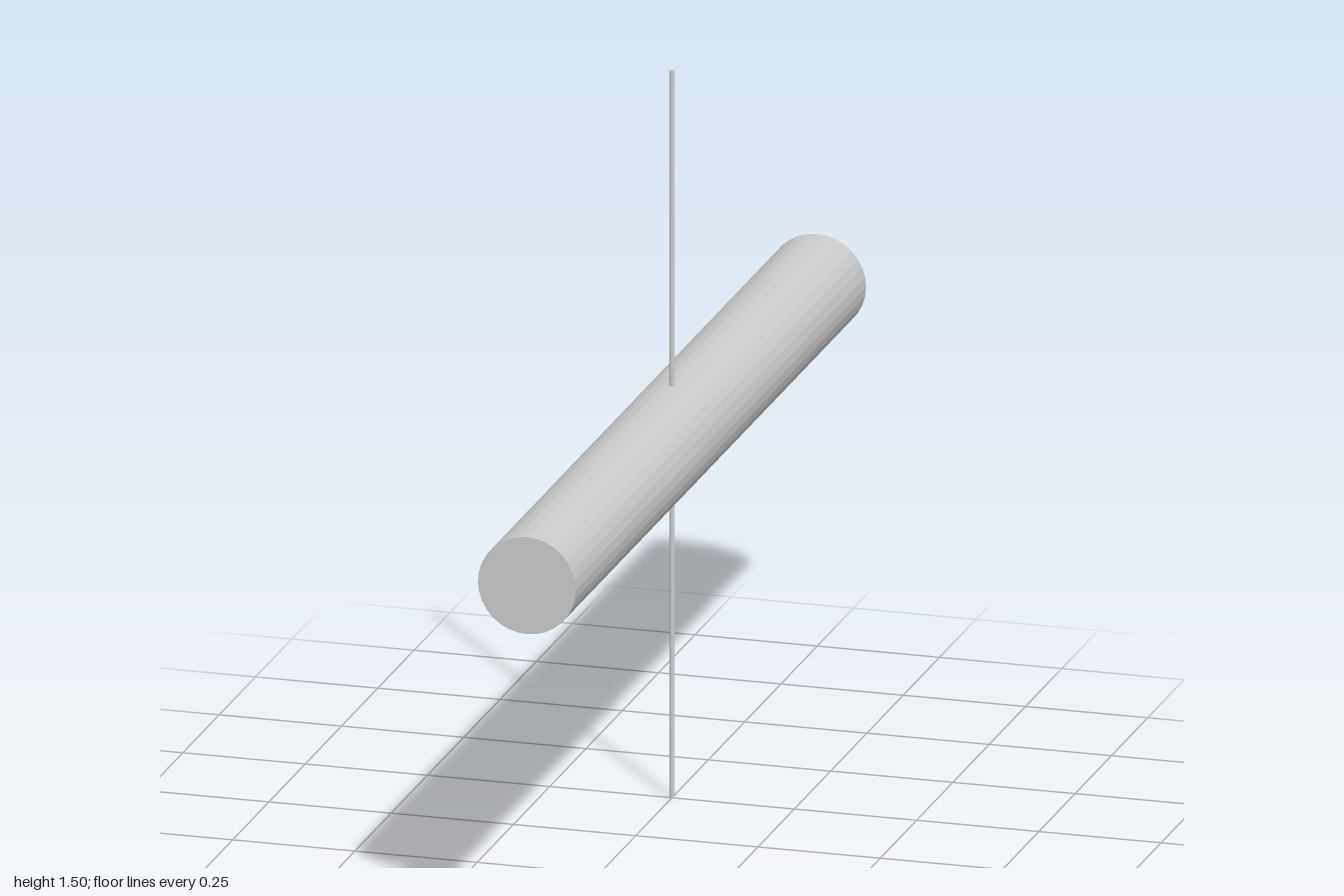
import * as THREE from 'three';

const material = new THREE.MeshStandardMaterial({ color: 0xcccccc, flatShading: true });

function rod(name, radius, length, sides) {
  const mesh = new THREE.Mesh(new THREE.CylinderGeometry(radius, radius, length, sides), material);
  mesh.name = name;
  mesh.position.y = 0.75;
  return mesh;
}

export function createModel() {
  const group = new THREE.Group();
  group.name = 'crossedRods';

  // Thick horizontal bar running front to back
  const bar = rod('horizontalBar', 0.1, 2, 32);
  bar.rotation.x = Math.PI / 2;

  // Thin upright wire through the middle of the bar
  const wire = rod('verticalWire', 0.005, 1.5, 16);

  group.add(bar, wire);
  return group;
}
